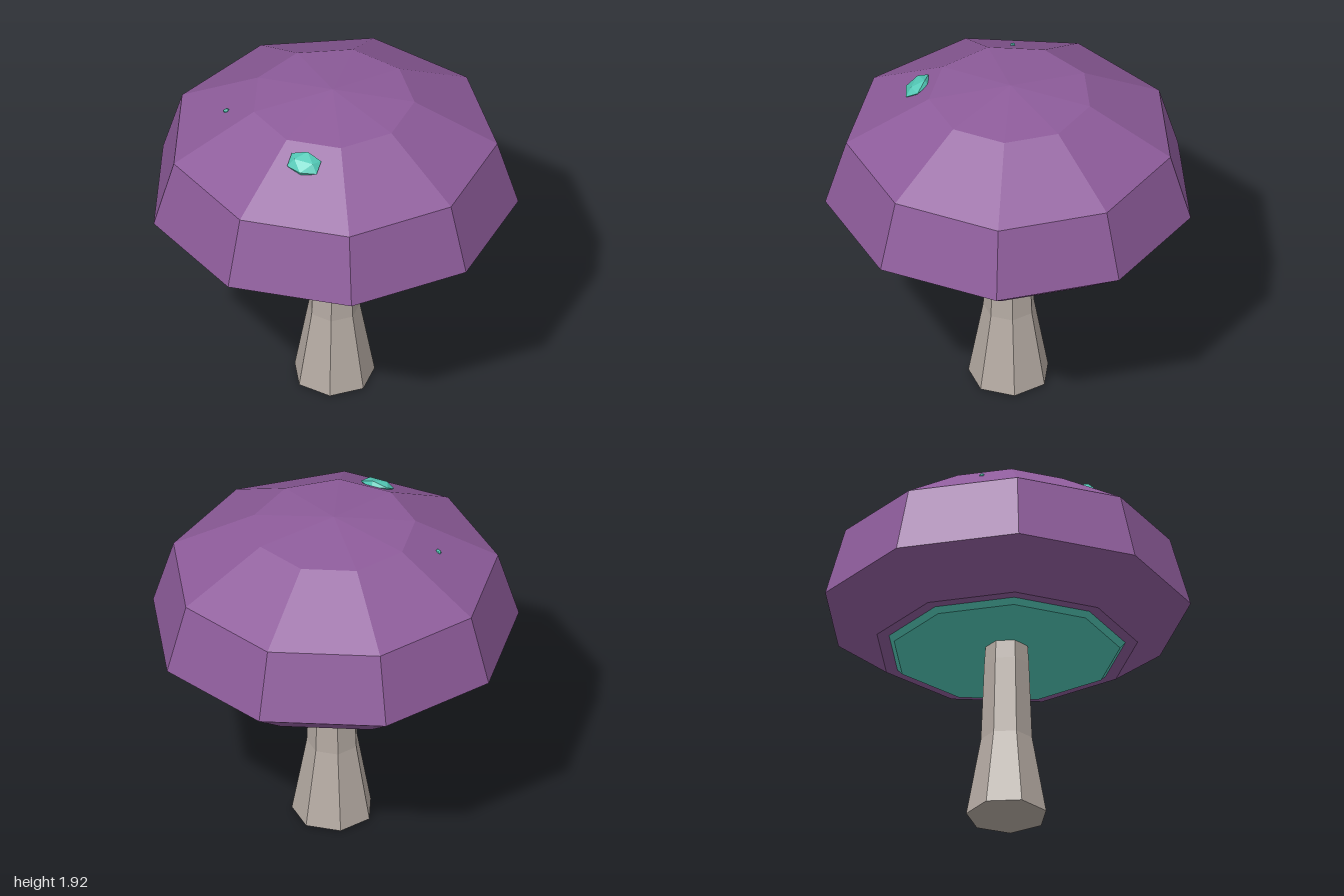
import * as THREE from 'three';

function material(name, color) {
  const m = new THREE.MeshStandardMaterial({ color, flatShading: true });
  m.name = name;
  return m;
}

// Faceted solid turned from [radius, height] pairs, with one corner on +x
function turned(name, profile, sides, mat, x) {
  const points = profile.map(([r, y]) => new THREE.Vector2(r, y));
  const mesh = new THREE.Mesh(new THREE.LatheGeometry(points, sides, Math.PI / 2), mat);
  mesh.name = name;
  mesh.position.x = x;
  return mesh;
}

export function createModel() {
  const purple = material('cap purple', 0x8e5c9b);
  const teal = material('glowing teal', 0x52c8b6);
  const beige = material('stem beige', 0xb4aaa2);
  const group = new THREE.Group();
  group.name = 'mushroom';

  // Nine-sided domed cap with a flat underside
  group.add(turned('cap', [
    [0, 1.005], [0.715, 1.005], [1.003, 1.22], [0.89, 1.605], [0.442, 1.865], [0, 1.925],
  ], 9, purple, -0.03));

  // Shallow gill dish below the cap, rising towards the stem
  group.add(turned('gills', [[0.1, 1.004], [0.62, 0.975], [0.655, 1.012]], 9, teal, -0.03));

  // Seven-sided stem with a flared foot
  group.add(turned('stem', [
    [0, 0], [0.222, 0.008], [0.142, 0.455], [0.124, 0.9], [0.115, 1.03],
  ], 7, beige, -0.022));

  // Flattened nodules lying on the cap slope: position, facet direction, half sizes
  const nodules = [
    [[0.21, 1.808, 0.467], 60, [0.1, 0.036, 0.075]],
    [[-0.45, 1.771, 0.392], 140, [0.018, 0.012, 0.014]],
  ];
  for (const [position, degrees, size] of nodules) {
    const a = THREE.MathUtils.degToRad(degrees);
    const normal = new THREE.Vector3(0.53 * Math.cos(a), 0.85, 0.53 * Math.sin(a));
    const nodule = new THREE.Mesh(new THREE.IcosahedronGeometry(1, 0), teal);
    nodule.name = 'nodule';
    nodule.scale.set(...size);
    nodule.position.set(...position);
    nodule.quaternion.setFromUnitVectors(new THREE.Vector3(0, 1, 0), normal.normalize());
    nodule.rotateY(0.4);
    group.add(nodule);
  }
  return group;
}
